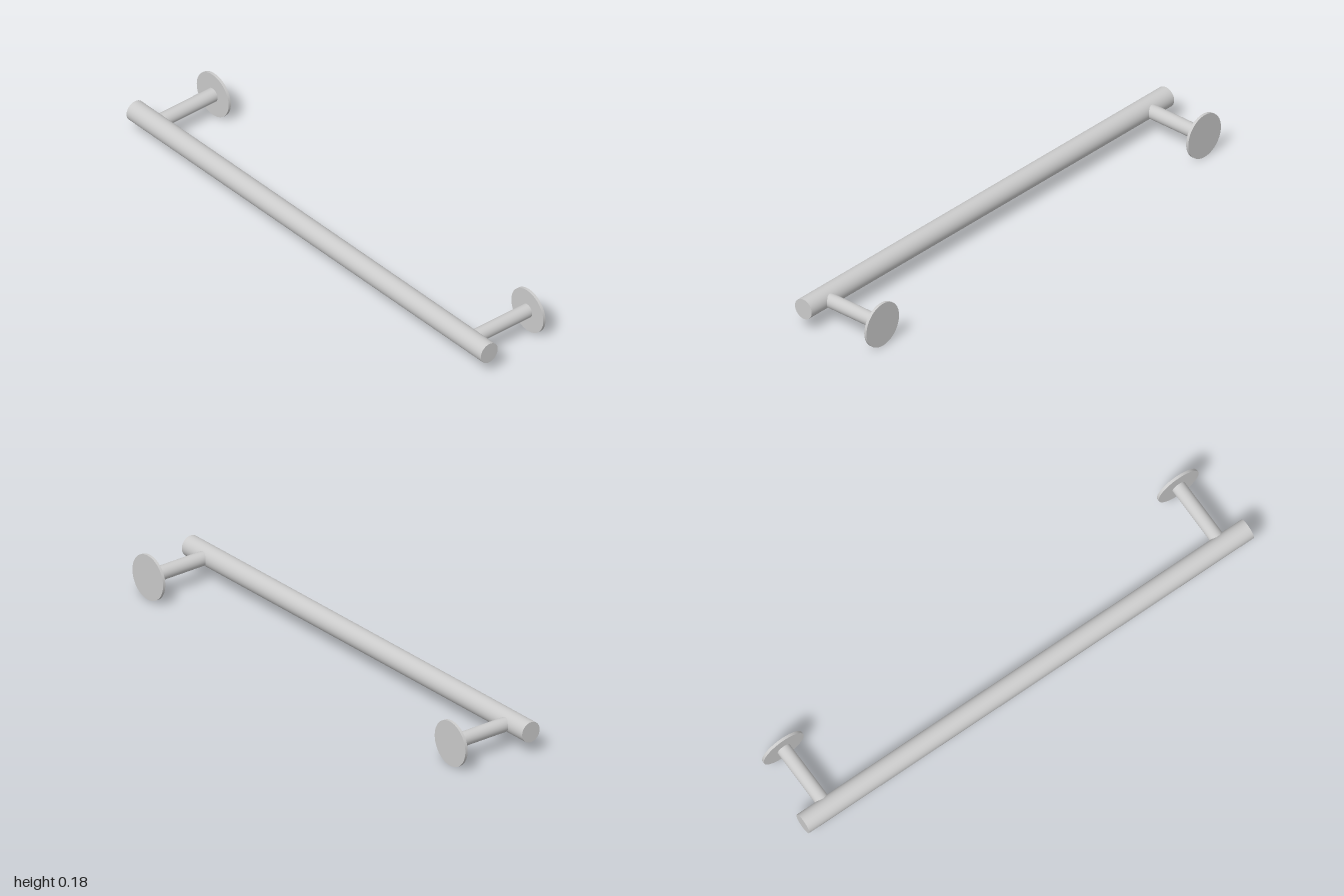
import * as THREE from 'three';

const material = new THREE.MeshStandardMaterial({ color: 0xcccccc });
const AXIS_Y = 0.09;

// Capped rod along the x or z axis, centred at the given point
function rod(name, radius, length, axis, x, y, z) {
  const geometry = new THREE.CylinderGeometry(radius, radius, length, 64);
  if (axis === 'x') geometry.rotateZ(Math.PI / 2);
  else geometry.rotateX(Math.PI / 2);
  const mesh = new THREE.Mesh(geometry, material);
  mesh.name = name;
  mesh.position.set(x, y, z);
  return mesh;
}

export function createModel() {
  const group = new THREE.Group();
  group.name = 'wallRail';

  // Long horizontal bar
  group.add(rod('bar', 0.041, 2, 'x', 0, AXIS_Y, 0.125));

  // A wall bracket near each end: post running into the bar, and round wall plate
  for (const [side, sign] of [['left', 1], ['right', -1]]) {
    const bracket = new THREE.Group();
    bracket.name = `${side}Bracket`;
    bracket.position.x = sign * 0.888;
    const back = -0.157, front = 0.11;
    bracket.add(rod('post', 0.0277, front - back, 'z', 0, AXIS_Y, (front + back) / 2));
    bracket.add(rod('wallPlate', 0.09, 0.011, 'z', 0, AXIS_Y, -0.1605));
    group.add(bracket);
  }
  return group;
}
